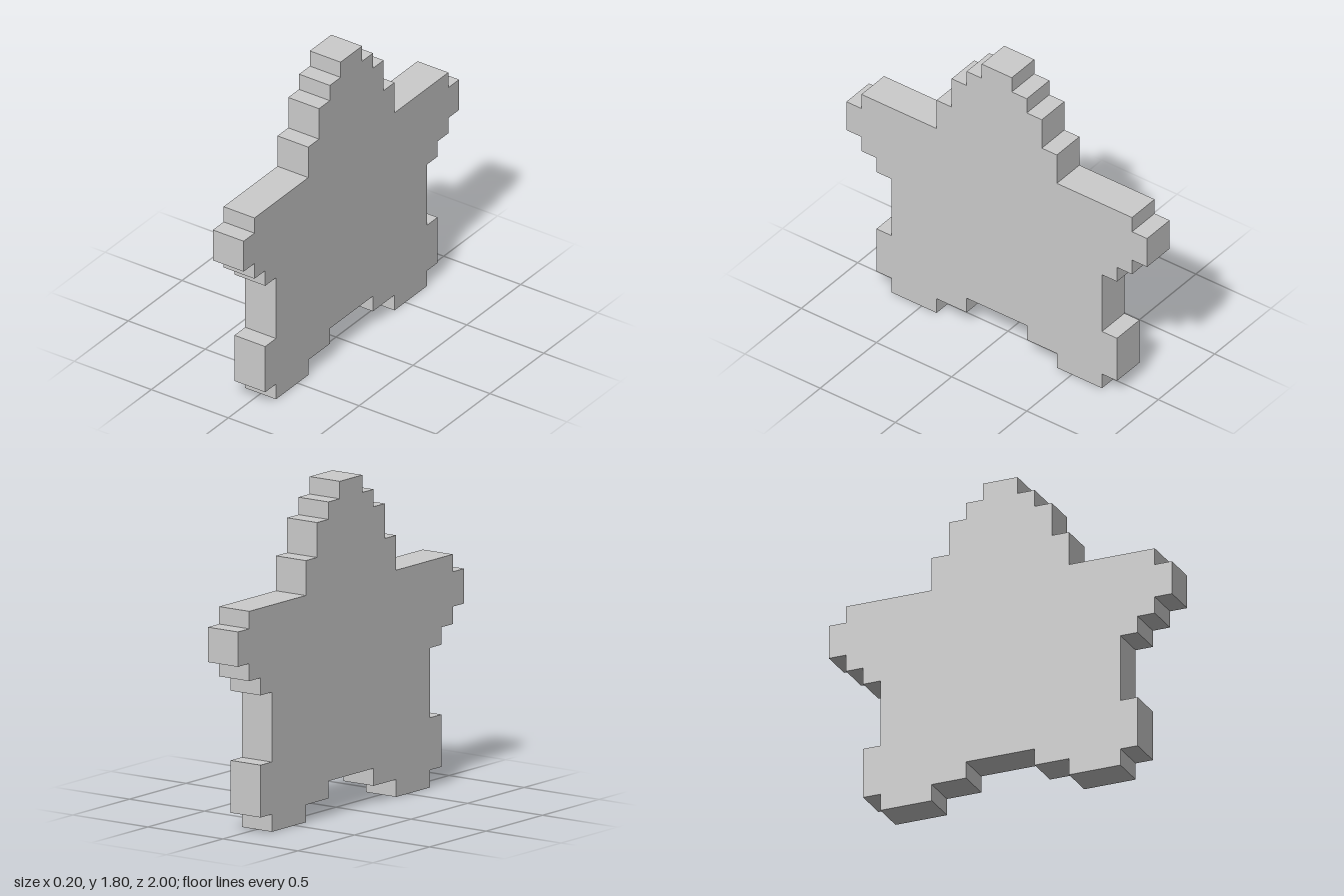
import * as THREE from 'three';

// Size of one pixel step across and up, and the slab thickness
const STEP_Z = 0.1;
const STEP_Y = 0.095;
const THICKNESS = 0.2;

// Half outline of the star in pixel steps, from the notch between the feet up to the tip
const HALF = [
  [2, 2], [2, 1], [4, 1], [4, 0], [7, 0], [7, 1], [8, 1], [8, 4], [7, 4], // foot
  [7, 8], [8, 8], [8, 9], [9, 9], [9, 10], [10, 10], [10, 12], [9, 12], [9, 13], // arm
  [4, 13], [4, 15], [3, 15], [3, 17], [2, 17], [2, 18], [1, 18], [1, 19], // top point
];

export function createModel() {
  const group = new THREE.Group();
  group.name = 'pixelStar';

  // Mirror the half outline into a closed shape
  const mirrored = HALF.map(([x, y]) => [-x, y]).reverse();
  const outline = [...HALF, ...mirrored].map(([x, y]) => new THREE.Vector2(x * STEP_Z, y * STEP_Y));

  // Extrude the star and turn its flat faces toward the sides
  const geometry = new THREE.ExtrudeGeometry(new THREE.Shape(outline), {
    depth: THICKNESS,
    bevelEnabled: false,
  });
  geometry.translate(0, 0, -THICKNESS / 2);
  geometry.rotateY(Math.PI / 2);

  const star = new THREE.Mesh(
    geometry,
    new THREE.MeshStandardMaterial({ color: 0xcccccc, flatShading: true })
  );
  star.name = 'starBody';
  group.add(star);
  return group;
}
